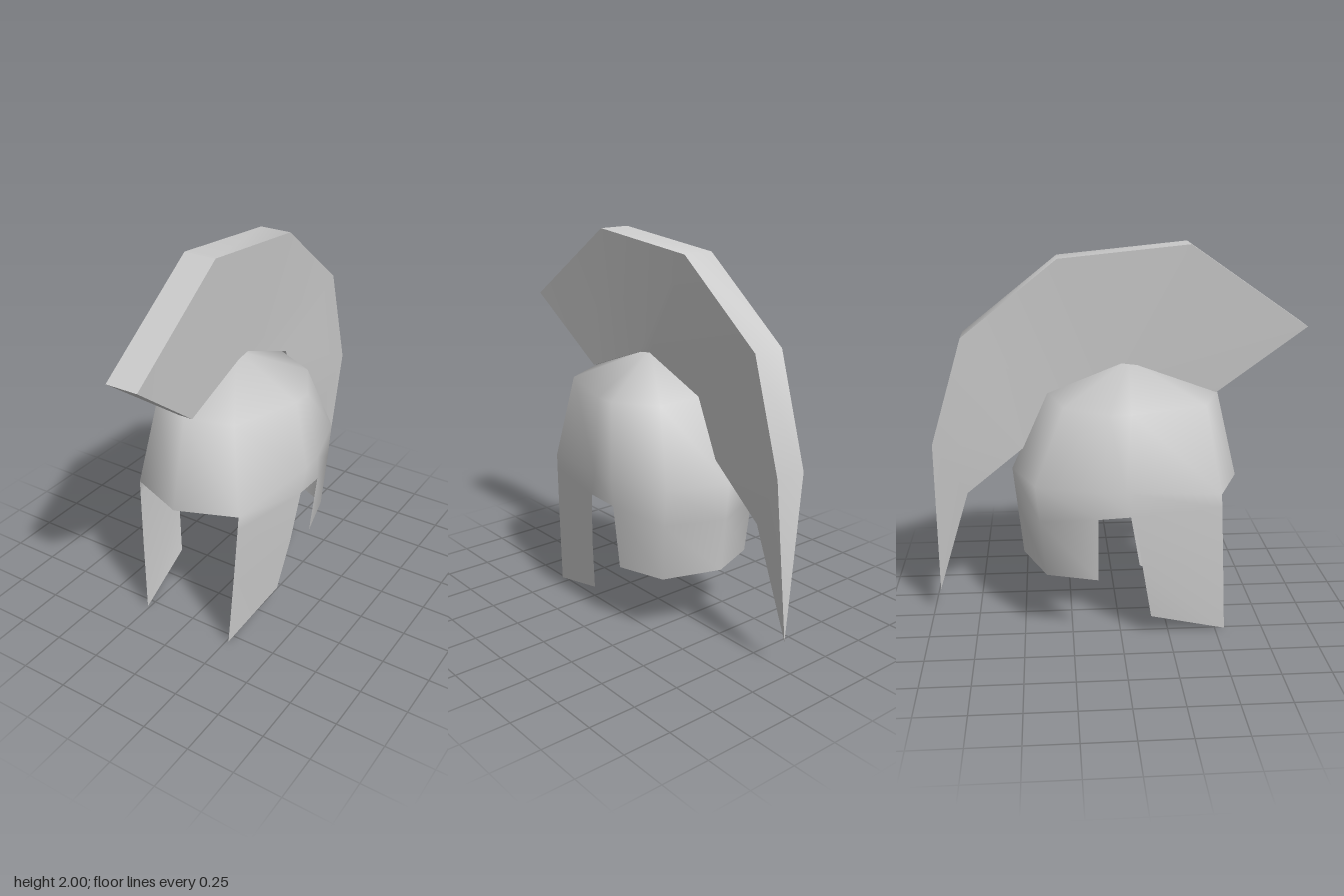
import * as THREE from 'three';
import { mergeVertices, toCreasedNormals } from 'three/addons/utils/BufferGeometryUtils.js';

const material = new THREE.MeshStandardMaterial({ color: 0xcccccc, side: THREE.DoubleSide });

// Soup of quads, dropping triangles that collapse at a pole or tip
function quadSoup(quads) {
  const out = [];
  const same = (p, q) => p.every((v, i) => Math.abs(v - q[i]) < 1e-6);
  const tri = (a, b, c) => {
    if (!same(a, b) && !same(b, c) && !same(c, a)) out.push(...a, ...b, ...c);
  };
  for (const [a, b, c, d] of quads) {
    tri(a, b, c);
    tri(a, c, d);
  }
  const geometry = new THREE.BufferGeometry();
  geometry.setAttribute('position', new THREE.Float32BufferAttribute(out, 3));
  return geometry;
}

// Rows run top to bottom, points run front to back on the +x half; mirrored to -x
function mirroredPatch(rows) {
  const quads = [];
  const flip = ([x, y, z]) => [-x, y, z];
  for (let r = 0; r < rows.length - 1; r++) {
    for (let c = 0; c < rows[r].length - 1; c++) {
      const q = [rows[r][c], rows[r + 1][c], rows[r + 1][c + 1], rows[r][c + 1]];
      quads.push(q, q.map(flip).reverse());
    }
  }
  return quads;
}

function createShell() {
  const apex = [0, 1.41, 0.06];
  const upper = [[0, 1.24, 0.52], [0.23, 1.22, 0.43], [0.345, 1.21, 0.05],
    [0.345, 1.21, -0.06], [0.22, 1.22, -0.28], [0, 1.25, -0.36]];
  const brow = [[0, 0.775, 0.63], [0.3, 0.775, 0.51], [0.397, 0.83, 0.02],
    [0.39, 0.83, -0.11], [0.3, 0.84, -0.43], [0, 0.84, -0.55]];
  // Top of the ear notch
  const notchFront = [0.39, 0.7, 0.06];
  const notchBack = [0.388, 0.69, -0.12];

  const dome = mirroredPatch([upper.map(() => apex), upper, brow]);
  const earBridge = mirroredPatch([[brow[2], brow[3]], [notchFront, notchBack]]);
  const cheeks = mirroredPatch([
    [brow[1], brow[2]],
    [[0.297, 0.7, 0.514], notchFront],
    [[0.283, 0.4, 0.53], [0.36, 0.41, 0.105]],
    [[0.262, 0.005, 0.55], [0.315, 0.115, 0.155]],
  ]);
  const neckGuard = mirroredPatch([
    brow.slice(3),
    [notchBack, [0.295, 0.65, -0.41], [0, 0.65, -0.53]],
    [[0.35, 0.345, -0.12], [0.28, 0.352, -0.38], [0, 0.365, -0.5]],
  ]);
  const geometry = mergeVertices(quadSoup([...dome, ...earBridge, ...cheeks, ...neckGuard]));
  geometry.computeVertexNormals();
  const mesh = new THREE.Mesh(geometry, material);
  mesh.name = 'helmetShell';
  return mesh;
}

function createCrest() {
  // Cross-sections: outer [z, y], inner [z, y], outer and inner half widths
  const sections = [
    [[0.96, 1.585], [0.51, 1.24], 0.085, 0.04],
    [[0.36, 2.0], [0.1, 1.39], 0.085, 0.04],
    [[-0.3, 1.935], [0.02, 1.4], 0.085, 0.04],
    [[-0.785, 1.55], [-0.36, 1.25], 0.085, 0.04],
    [[-0.95, 1.0], [-0.49, 0.96], 0.085, 0.04],
    [[-0.95, 1.0], [-0.785, 0.72], 0.085, 0.04],
    [[-0.955, 0.155], [-0.955, 0.155], 0, 0],
  ];
  const rings = sections.map(([o, i, wo, wi]) => [
    [wo, o[1], o[0]], [-wo, o[1], o[0]], [-wi, i[1], i[0]], [wi, i[1], i[0]],
  ]);
  const quads = [[...rings[0]]];
  for (let s = 0; s < rings.length - 1; s++) {
    for (let k = 0; k < 4; k++) {
      const n = (k + 1) % 4;
      quads.push([rings[s][k], rings[s + 1][k], rings[s + 1][n], rings[s][n]]);
    }
  }
  const mesh = new THREE.Mesh(toCreasedNormals(quadSoup(quads), Math.PI / 5), material);
  mesh.name = 'crest';
  return mesh;
}

export function createModel() {
  const group = new THREE.Group();
  group.name = 'crestedHelmet';
  group.add(createShell(), createCrest());
  return group;
}
